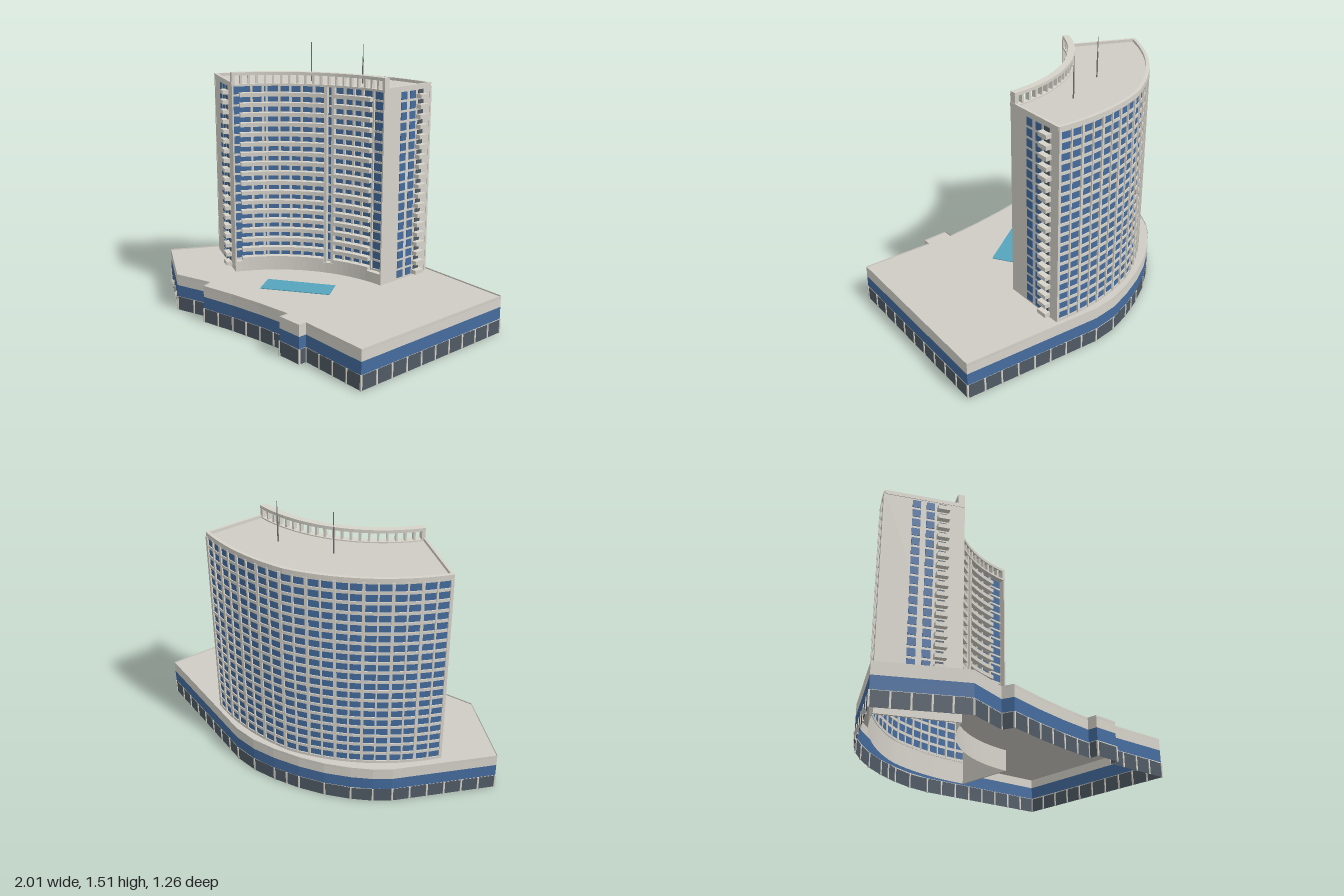
import * as THREE from 'three';
import { mergeGeometries } from 'three/addons/utils/BufferGeometryUtils.js';

const mat = (name, color) => {
  const m = new THREE.MeshStandardMaterial({ color, side: THREE.DoubleSide });
  m.name = name;
  return m;
};
const stone = mat('pale stone', 0xd6d3ca);
const deckMat = mat('deck grey', 0xcfccc5);
const blue = mat('blue glass', 0x446c9e);
const dark = mat('dark shop glass', 0x505a65);
const teal = mat('pool water', 0x55a5bc);
const metal = mat('mast metal', 0x777777);

// The tower is a ring sector around this centre; angle 0 points to the back
const CX = 0.2, CZ = 0.6, RAD = Math.PI / 180;
const A0 = -53.3, A1 = 13.3, R_FRONT = 0.775, R_GLASS = 0.813;
const FLOOR = 0.0563, BASE = 0.215, TOP = 1.285, FLOORS = 19;
const polar = (a, r) => [CX + r * Math.sin(a * RAD), CZ - r * Math.cos(a * RAD)];
const rBack = a => (a < -15 ? 1.205 : 1.205 - 0.065 * (a + 15) / (A1 + 15));

const arc = (a0, a1, r, n) => Array.from({ length: n + 1 }, (_, i) => {
  const a = a0 + (a1 - a0) * i / n;
  return polar(a, typeof r === 'function' ? r(a) : r);
});
const sector = (a0, a1, r0, r1, n) => [...arc(a0, a1, r0, n), ...arc(a0, a1, r1, n).reverse()];

// Solid with a plan outline of [x, z] points between two heights
function prism(pts, y0, y1, hole) {
  const vec = p => new THREE.Vector2(p[0], -p[1]);
  const shape = new THREE.Shape(pts.map(vec));
  if (hole) shape.holes.push(new THREE.Path(hole.map(vec)));
  return new THREE.ExtrudeGeometry(shape, { depth: y1 - y0, bevelEnabled: false })
    .rotateX(-Math.PI / 2).translate(0, y0, 0);
}

// Upright sheet along a plan line
function wall(pts, y0, y1) {
  const pos = [], uv = [];
  for (let i = 0; i + 1 < pts.length; i++) {
    const [a, b] = [pts[i], pts[i + 1]];
    pos.push(a[0], y0, a[1], b[0], y0, b[1], b[0], y1, b[1]);
    pos.push(a[0], y0, a[1], b[0], y1, b[1], a[0], y1, a[1]);
    uv.push(0, 0, 1, 0, 1, 1, 0, 0, 1, 1, 0, 1);
  }
  const g = new THREE.BufferGeometry();
  g.setAttribute('position', new THREE.Float32BufferAttribute(pos, 3));
  g.setAttribute('uv', new THREE.Float32BufferAttribute(uv, 2));
  g.computeVertexNormals();
  return g;
}

// Box on the ring: w across, d along the radius, pushed sideways by side
function ringBox(a, r, y, w, h, d, side = 0) {
  const [x, z] = polar(a, r);
  return new THREE.BoxGeometry(w, h, d).translate(side, 0, 0)
    .rotateY(-a * RAD).translate(x, y, z);
}

export function createModel() {
  const model = new THREE.Group();
  const part = (name, material, geos) => {
    const flat = geos.map(g => (g.index ? g.toNonIndexed() : g));
    const mesh = new THREE.Mesh(mergeGeometries(flat), material);
    mesh.name = name;
    model.add(mesh);
  };

  // Podium, listed from the left tip along the front, then round the back
  const plan = [
    [-1, 0.07], [-0.655, 0.38], [-0.42, 0.365], [-0.41, 0.43], [-0.2, 0.435], [0, 0.45],
    [0.2, 0.475], [0.19, 0.53], [0.335, 0.56], [0.345, 0.515], [0.735, 0.62], [0.995, -0.38],
    [0.245, -0.613], [0.107, -0.628], [-0.03, -0.617], [-0.18, -0.588], [-0.32, -0.545],
    [-0.45, -0.485], [-0.55, -0.425], [-0.63, -0.36]];
  const loop = [...plan, plan[0]];
  const backArc = arc(A0, A1, rBack, 24);
  const footprint = [...arc(A0, A1, R_FRONT, 24), ...backArc.slice().reverse()];
  part('shopWindows', dark, [wall(loop, 0, 0.08)]);
  part('podiumGlass', blue, [wall(loop, 0.082, 0.15)]);
  part('podiumParapet', stone, [wall(loop, 0.15, 0.215)]);
  part('podiumDeck', deckMat, [prism(plan, 0.2, 0.207, footprint)]);

  const mullions = [wall(loop, 0.077, 0.083)];
  for (let i = 0; i < plan.length; i++) {
    const [a, b] = [loop[i], loop[i + 1]];
    const dx = b[0] - a[0], dz = b[1] - a[1];
    const n = Math.max(1, Math.round(Math.hypot(dx, dz) / 0.1));
    for (let k = 0; k < n; k++) {
      mullions.push(new THREE.BoxGeometry(0.009, 0.08, 0.008).rotateY(-Math.atan2(dz, dx))
        .translate(a[0] + dx * k / n, 0.04, a[1] + dz * k / n));
    }
  }
  part('shopMullions', stone, mullions);
  part('pool', teal, [prism([[-0.19, 0.13], [-0.14, 0.267], [0.225, 0.128], [0.176, -0.005]], 0.207, 0.211)]);

  // Tower shell
  part('frontGlass', blue, [wall(arc(A0, A1, R_GLASS, 24), 0.26, TOP)]);
  part('backGlass', blue, [wall(backArc, BASE, TOP)]);
  part('frontBase', stone, [
    wall(arc(A0, A1, R_FRONT, 24), 0.08, 0.268),
    prism(sector(A0, A1, R_FRONT, R_GLASS, 24), 0.26, 0.268)]);
  part('backBase', stone, [wall(backArc, 0.08, BASE)]);
  part('endWalls', stone, [[A0, 0.6], [A1, -0.6]].map(([a, t]) =>
    prism([polar(a, R_FRONT), polar(a, rBack(a)), polar(a + t, rBack(a)), polar(a + t, R_FRONT)], 0.08, TOP)));
  part('roof', deckMat, [prism(footprint, TOP, 1.291)]);
  part('roofParapet', stone, [
    prism(sector(A0, A1, a => rBack(a) - 0.012, a => rBack(a) + 0.006, 24), TOP - 0.005, 1.307),
    prism(sector(A0 - 0.2, A0 + 0.6, R_FRONT, rBack(A0), 1), TOP, 1.307),
    prism(sector(A1 - 0.6, A1 + 0.2, R_FRONT, rBack(A1), 1), TOP, 1.307)]);

  // Back facade: floor bands and piers
  const backGrid = [];
  for (let f = 0; f <= FLOORS; f++) {
    const y = BASE + f * FLOOR;
    backGrid.push(prism(sector(A0, A1, a => rBack(a) - 0.003, a => rBack(a) + 0.005, 24),
      y - 0.008, Math.min(y + 0.008, TOP)));
  }
  for (let i = 0; i <= 20; i++) {
    const a = A0 + 0.3 + (A1 - A0 - 0.6) * i / 20;
    backGrid.push(ringBox(a, rBack(a) + 0.002, (BASE + TOP) / 2, i % 2 ? 0.009 : 0.015, TOP - BASE, 0.014));
  }
  part('backFrames', stone, backGrid);

  // Front facade: balcony bands in two runs, thin floor lines at the flanks
  const balconies = [], lines = [];
  for (let f = 1; f < FLOORS; f++) {
    const y = BASE + f * FLOOR;
    balconies.push(prism(sector(-50, -15, R_FRONT, R_GLASS, 14), y - 0.004, y + 0.018));
    balconies.push(prism(sector(-11, 6, R_FRONT, R_GLASS, 7), y - 0.004, y + 0.018));
    lines.push(prism(sector(A0, A1, R_GLASS - 0.006, R_GLASS, 24), y - 0.003, y + 0.008));
  }
  part('frontBalconies', stone, balconies);
  part('frontFloorLines', stone, lines);
  const mid = (0.262 + TOP) / 2, tall = TOP - 0.262;
  part('frontPiers', stone, [
    ...[-45, -40.5, -39, -34, -29.5, -25, -20, -7, -3, 1, 6].map(a =>
      ringBox(a, R_GLASS - 0.005, mid, 0.013, tall, 0.012)),
    ...[-14.6, -11.4].map(a => ringBox(a, R_GLASS - 0.016, mid, 0.016, tall, 0.035))]);

  // End walls: two window columns and a stack of small balconies each
  const endGlass = [], endBalconies = [], endSides = [];
  for (const [a, s, w1, w2, b] of [[A0, -1, 1.037, 0.962, 0.895], [A1, 1, 0.927, 0.997, 1.06]]) {
    for (let f = 0; f < FLOORS; f++) {
      const y = BASE + f * FLOOR;
      for (const r of [w1, w2]) endGlass.push(ringBox(a, r, y + 0.026, 0.006, 0.042, 0.044, s * 0.001));
      endBalconies.push(ringBox(a, b, y + 0.014, 0.034, 0.023, 0.064, s * 0.017));
      endSides.push(ringBox(a, b, y + 0.038, 0.006, 0.022, 0.04, s * 0.001));
    }
  }
  part('endWindows', blue, endGlass);
  part('endBalconies', stone, endBalconies);
  part('endBalconyDoors', dark, endSides);

  // Roof pergola
  const pergola = [prism(sector(A0, A1, R_FRONT, 0.812, 24), 1.345, 1.362),
    prism(sector(A0, A1, R_FRONT, 0.812, 24), TOP, 1.297)];
  for (let i = 0; i <= 20; i++) {
    const edge = i % 20 === 0;
    const a = A0 + 0.6 + (A1 - A0 - 1.2) * i / 20;
    pergola.push(ringBox(a, 0.793, 1.32, edge ? 0.018 : 0.011, 0.056, edge ? 0.036 : 0.026));
  }
  part('roofPergola', stone, pergola);

  // Masts
  part('roofMasts', metal, [[-0.175, -0.275], [0.125, -0.345]].flatMap(([x, z]) => [
    new THREE.CylinderGeometry(0.004, 0.004, 0.14, 6).translate(x, 1.36, z),
    new THREE.CylinderGeometry(0.002, 0.002, 0.08, 6).translate(x, 1.47, z)]));

  return model;
}
